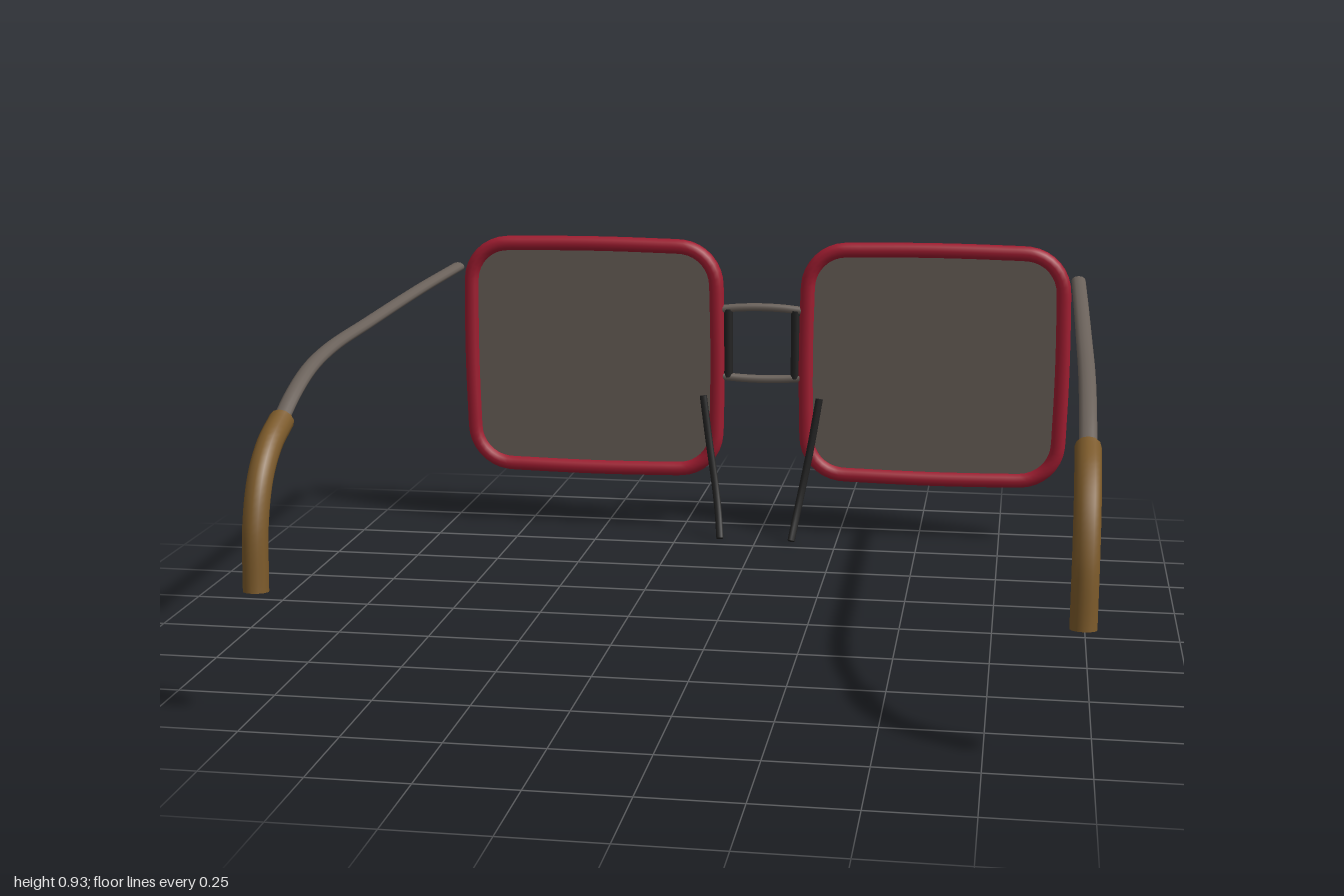
import * as THREE from 'three';

const mat = (name, color, side = THREE.FrontSide) => {
  const m = new THREE.MeshStandardMaterial({ color, side });
  m.name = name;
  return m;
};

const V = (x, y, z) => new THREE.Vector3(x, y, z);

// Capped round rod along a smooth curve
function rod(name, points, radius, material, segments = 24, sides = 10) {
  const group = new THREE.Group();
  group.name = name;
  const curve = new THREE.CatmullRomCurve3(points);
  group.add(new THREE.Mesh(new THREE.TubeGeometry(curve, segments, radius, sides), material));
  for (const [t, dir] of [[0, -1], [1, 1]]) {
    const cap = new THREE.Mesh(new THREE.CircleGeometry(radius, sides), material);
    cap.position.copy(curve.getPoint(t));
    cap.quaternion.setFromUnitVectors(V(0, 0, 1), curve.getTangent(t).multiplyScalar(dir));
    group.add(cap);
  }
  group.children.forEach((m) => { m.name = name; });
  return group;
}

// Counterclockwise rounded rectangle centred on the origin
function roundedOutline(hw, hh, r, steps = 8) {
  const pts = [];
  const corners = [[1, 1], [-1, 1], [-1, -1], [1, -1]];
  corners.forEach(([cx, cy], i) => {
    for (let k = 0; k <= steps; k++) {
      const a = (i + k / steps) * Math.PI / 2;
      pts.push(V(cx * (hw - r) + r * Math.cos(a), cy * (hh - r) + r * Math.sin(a), 0));
    }
    // extra points hold the straight edge, with a very slight outward bow
    const end = pts[pts.length - 1];
    const [nx, ny] = corners[(i + 1) % 4];
    const a = (i + 1) * Math.PI / 2;
    const next = V(nx * (hw - r) + r * Math.cos(a), ny * (hh - r) + r * Math.sin(a), 0);
    for (const t of [0.1, 0.3, 0.5, 0.7, 0.9]) {
      const bow = 0.004 * Math.sin(Math.PI * t);
      pts.push(end.clone().lerp(next, t).add(V(bow * Math.cos(a), bow * Math.sin(a), 0)));
    }
  });
  return pts;
}

// Lens: flat on the inside, a very shallow peak on the outside
function lensGeometry(outline, peak) {
  const pos = [];
  outline.forEach((p, i) => {
    const q = outline[(i + 1) % outline.length];
    pos.push(0, 0, 0.004, p.x, p.y, 0.004, q.x, q.y, 0.004);
    pos.push(0, 0, -peak, q.x, q.y, 0, p.x, p.y, 0);
  });
  const g = new THREE.BufferGeometry();
  g.setAttribute('position', new THREE.Float32BufferAttribute(pos, 3));
  g.computeVertexNormals();
  return g;
}

export function createModel() {
  const model = new THREE.Group();
  model.name = 'glasses';
  const red = mat('rim red', 0xa01c30);
  const metal = mat('temple metal', 0x6b625b);
  const tint = mat('lens tint', 0x665d56, THREE.DoubleSide);
  const black = mat('black', 0x222222);
  const horn = mat('tip brown', 0x7c5a2a);

  const Z = -0.933;
  const outline = roundedOutline(0.39, 0.354, 0.12);
  const rimCurve = new THREE.CatmullRomCurve3(outline, true);
  const rimGeo = new THREE.TubeGeometry(rimCurve, 128, 0.023, 10, true);
  const lensGeo = lensGeometry(outline, 0.028);

  for (const s of [-1, 1]) {
    const side = s > 0 ? 'left' : 'right';

    // Rim and lens
    const rim = new THREE.Mesh(rimGeo, red);
    rim.name = side + 'Rim';
    rim.position.set(s * 0.533, 0.553, Z);
    const lens = new THREE.Mesh(lensGeo, tint);
    lens.name = side + 'Lens';
    lens.position.copy(rim.position);
    model.add(rim, lens);

    // Temple: oval rod running back and bending down
    const temple = rod(side + 'Temple', [
      V(0, 0.83, -0.922), V(0, 0.826, -0.5), V(0, 0.813, 0), V(0, 0.802, 0.33),
      V(0, 0.78, 0.49), V(0, 0.742, 0.61), V(0, 0.69, 0.72),
    ], 0.0145, metal, 48, 12);
    temple.position.x = s * 0.965;
    temple.scale.x = 1.45;

    // Ear tip
    const tip = rod(side + 'EarTip', [
      V(0, 0.696, 0.698), V(0, 0.655, 0.79), V(0, 0.59, 0.86),
      V(0, 0.49, 0.905), V(0, 0.33, 0.925),
    ], 0.031, horn, 24, 12);
    tip.position.x = s * 0.965;
    model.add(temple, tip);

    // Nose arm
    model.add(rod(side + 'NoseArm', [
      V(s * 0.183, 0.44, -0.922), V(s * 0.16, 0.29, -0.9), V(s * 0.137, 0.16, -0.872),
      V(s * 0.123, 0.08, -0.84), V(s * 0.112, 0.011, -0.8),
    ], 0.0115, black, 24, 8));

    // Upright between the bridge bars
    model.add(rod(side + 'BridgePost',
      [V(s * 0.105, 0.5, Z), V(s * 0.105, 0.715, Z)], 0.014, black, 1));
  }

  // Double bridge, both bars gently curved apart
  for (const [name, y, bow] of [['upperBridge', 0.713, 0.01], ['lowerBridge', 0.504, -0.008]]) {
    model.add(rod(name, [
      V(-0.14, y, Z), V(-0.07, y + bow * 0.75, Z), V(0, y + bow, Z),
      V(0.07, y + bow * 0.75, Z), V(0.14, y, Z),
    ], 0.0125, metal, 16));
  }
  return model;
}
